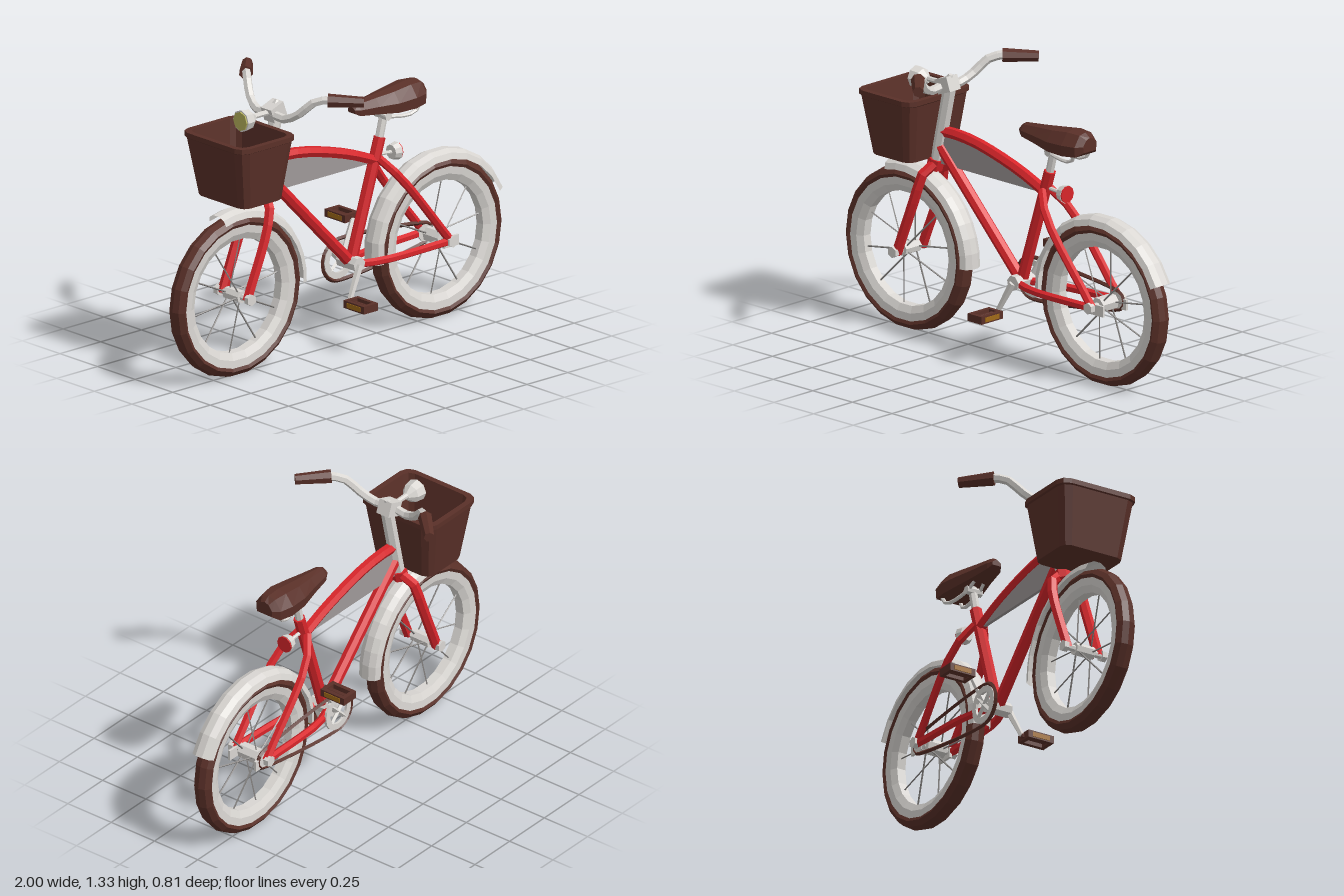
import * as THREE from 'three';

const mat = (name, color, extra = {}) =>
  Object.assign(new THREE.MeshStandardMaterial({ color, flatShading: true, ...extra }), { name });
const V = (x, y, z = 0) => new THREE.Vector3(x, y, z);

export function createModel() {
  const red = mat('red paint', 0xd8252a);
  const white = mat('off white', 0xd9d6d2, { side: THREE.DoubleSide });
  const brown = mat('brown rubber and leather', 0x5a3028);
  const grey = mat('grey panel', 0x9f9999);
  const steel = mat('spoke steel', 0x8d8a88);
  const amber = mat('amber reflector', 0xa06a18);
  const lensYellow = mat('lamp lens', 0xb9b45c);

  const bike = new THREE.Group();
  bike.name = 'bicycle';
  const add = (name, geo, material, parent = bike) => {
    const m = new THREE.Mesh(geo, material);
    m.name = name;
    parent.add(m);
    return m;
  };

  // straight tube between two points
  const rod = (name, a, b, r, material, parent = bike, r2 = r, sides = 7) => {
    const m = add(name, new THREE.CylinderGeometry(r2, r, a.distanceTo(b), sides), material, parent);
    m.position.copy(a).lerp(b, 0.5);
    m.quaternion.setFromUnitVectors(V(0, 1, 0), b.clone().sub(a).normalize());
    return m;
  };
  // bent tube through points
  const bent = (name, pts, r, material, segs = 8, closed = false, sides = 6) =>
    add(name, new THREE.TubeGeometry(new THREE.CatmullRomCurve3(pts, closed, 'centripetal'), segs, r, sides, closed), material);
  // ring or arc around the z axis from a (radius, z) profile
  const ring = (profile, segs, from = 0, sweep = Math.PI * 2) =>
    new THREE.LatheGeometry(profile.map(p => new THREE.Vector2(...p)), segs, from + Math.PI / 2, sweep).rotateX(Math.PI / 2);
  // skin over cross-sections, capped at both ends
  const loft = rings => {
    const n = rings[0].length, pos = [], idx = [];
    rings.forEach(r => r.forEach(p => pos.push(p.x, p.y, p.z)));
    for (let i = 0; i < rings.length - 1; i++)
      for (let j = 0; j < n; j++) {
        const a = i * n + j, d = i * n + (j + 1) % n;
        idx.push(a, a + n, d + n, a, d + n, d);
      }
    const last = (rings.length - 1) * n;
    for (let j = 1; j < n - 1; j++) idx.push(0, j, j + 1, last, last + j + 1, last + j);
    const g = new THREE.BufferGeometry();
    g.setAttribute('position', new THREE.Float32BufferAttribute(pos, 3));
    g.setIndex(idx);
    g.computeVertexNormals();
    return g;
  };

  // wheels with fenders
  const deg = Math.PI / 180;
  const wheel = (name, x, hubR, fenderFrom, fenderTo) => {
    const g = new THREE.Group();
    g.name = name;
    g.position.set(x, 0.38, 0);
    bike.add(g);
    add('tire', ring([[0.325, -0.036], [0.35, -0.048], [0.373, -0.03], [0.382, 0], [0.373, 0.03],
      [0.35, 0.048], [0.325, 0.036], [0.325, -0.036]], 22), brown, g);
    add('whitewallRim', ring([[0.268, -0.022], [0.3, -0.038], [0.336, -0.041], [0.336, 0.041],
      [0.3, 0.038], [0.268, 0.022], [0.268, -0.022]], 22), white, g);
    add('fender', ring([[0.372, -0.056], [0.4, -0.046], [0.415, -0.018], [0.415, 0.018], [0.4, 0.046],
      [0.372, 0.056]], 11, fenderFrom * deg, (fenderTo - fenderFrom) * deg), white, g);
    rod('hub', V(0, 0, -0.05), V(0, 0, 0.05), hubR, white, g);
    rod('axle', V(0, 0, -0.11), V(0, 0, 0.11), 0.016, white, g);
    for (const s of [-1, 1]) rod('axleNut', V(0, 0, s * 0.09), V(0, 0, s * 0.115), 0.027, white, g, 0.027, 6);
    for (let i = 0; i < 10; i++) {
      const a = (i + 0.3) * Math.PI / 5, z = i % 2 ? 0.035 : -0.035;
      rod('spoke', V(0.015 * Math.cos(a), 0.015 * Math.sin(a), z),
        V(0.275 * Math.cos(a), 0.275 * Math.sin(a), 0), 0.004, steel, g, 0.004, 4);
    }
    return g;
  };
  wheel('frontWheel', -0.62, 0.03, -2, 106);
  const rear = wheel('rearWheel', 0.615, 0.038, 24, 186);
  rod('rearSprocket', V(0, 0, -0.08), V(0, 0, -0.07), 0.042, white, rear, 0.042, 10);

  // frame
  bent('topTube', [V(-0.4, 0.975), V(-0.3, 0.975), V(-0.18, 0.96), V(0, 0.915), V(0.12, 0.875), V(0.25, 0.82)], 0.026, red, 9);
  rod('downTube', V(-0.42, 0.9), V(0.09, 0.375), 0.028, red);
  rod('seatTube', V(0.09, 0.37), V(0.268, 0.93), 0.028, red);
  const panel = new THREE.Shape();
  panel.moveTo(-0.425, 0.82);
  [[0.24, 0.82], [0.12, 0.875], [0, 0.915], [-0.18, 0.96], [-0.3, 0.975], [-0.39, 0.975]].forEach(p => panel.lineTo(...p));
  add('tankPanel', new THREE.ExtrudeGeometry(panel, { depth: 0.016, bevelEnabled: false }).translate(0, 0, -0.008), grey);
  rod('bottomBracket', V(0.09, 0.375, -0.06), V(0.09, 0.375, 0.06), 0.036, white);
  for (const s of [-1, 1]) {
    bent('chainStay', [V(0.1, 0.37, s * 0.03), V(0.22, 0.37, s * 0.07), V(0.62, 0.378, s * 0.09)], 0.019, red, 6);
    bent('seatStay', [V(0.24, 0.84, s * 0.025), V(0.32, 0.745, s * 0.08), V(0.62, 0.38, s * 0.09)], 0.02, red, 6);
    bent('forkLeg', [V(-0.445, 0.815, s * 0.02), V(-0.47, 0.77, s * 0.07), V(-0.5, 0.67, s * 0.082),
      V(-0.62, 0.37, s * 0.082)], 0.024, red, 7);
    const plate = add('rearDropout', new THREE.BoxGeometry(0.09, 0.05, 0.012), white);
    plate.position.set(0.635, 0.37, s * 0.075);
  }
  rod('forkCrown', V(-0.46, 0.79), V(-0.445, 0.84), 0.04, red);
  rod('headTube', V(-0.445, 0.83), V(-0.365, 1.19), 0.031, white);

  // handlebar
  const clamp = add('stemClamp', new THREE.BoxGeometry(0.08, 0.07, 0.07), white);
  clamp.position.set(-0.38, 1.2, 0);
  clamp.rotation.z = 0.35;
  rod('stemBolt', V(-0.37, 1.22), V(-0.36, 1.25), 0.025, white, bike, 0.01, 6);
  for (const s of [-1, 1]) {
    bent('handlebar', [V(-0.4, 1.195, 0), V(-0.395, 1.185, s * 0.09), V(-0.375, 1.22, s * 0.16),
      V(-0.335, 1.285, s * 0.225), V(-0.285, 1.3, s * 0.285)], 0.021, white, 8);
    rod('grip', V(-0.3, 1.295, s * 0.272), V(-0.185, 1.29, s * 0.388), 0.033, brown, bike, 0.025);
  }

  // headlamp
  rod('lampBracket', V(-0.51, 1.2), V(-0.39, 1.2), 0.013, white);
  rod('lampShell', V(-0.582, 1.195), V(-0.535, 1.195), 0.052, white, bike, 0.045, 8);
  rod('lampBack', V(-0.535, 1.195), V(-0.5, 1.195), 0.045, white, bike, 0.015, 8);
  rod('lampLens', V(-0.588, 1.195), V(-0.581, 1.195), 0.045, lensYellow, bike, 0.045, 8);

  // open basket: outer wall, rim, inner wall, floor
  const roundRect = (cx, y, hx, hz, r) => {
    const pts = [];
    [[1, 1], [-1, 1], [-1, -1], [1, -1]].forEach(([sx, sz], k) => {
      for (let i = 0; i < 3; i++) {
        const a = k * Math.PI / 2 + i * Math.PI / 4;
        pts.push(V(cx + sx * (hx - r) + r * Math.cos(a), y, sz * (hz - r) + r * Math.sin(a)));
      }
    });
    return pts;
  };
  add('basket', loft([
    roundRect(-0.587, 0.84, 0.125, 0.162, 0.04), roundRect(-0.592, 1.115, 0.168, 0.198, 0.05),
    roundRect(-0.592, 1.12, 0.174, 0.207, 0.05), roundRect(-0.592, 1.143, 0.174, 0.207, 0.05),
    roundRect(-0.592, 1.143, 0.148, 0.18, 0.04), roundRect(-0.587, 0.86, 0.112, 0.148, 0.035)]), brown);

  // saddle: x, half width, bottom, top
  const saddle = [[0.095, 0.025, 1.085, 1.115], [0.12, 0.04, 1.07, 1.13], [0.22, 0.058, 1.06, 1.14], [0.32, 0.082, 1.05, 1.15],
    [0.42, 0.09, 1.05, 1.163], [0.49, 0.075, 1.055, 1.16], [0.518, 0.045, 1.075, 1.14]];
  add('saddle', loft(saddle.map(([x, w, lo, hi]) =>
    [[hi, 0], [hi - 0.008, -0.5], [lo + (hi - lo) * 0.45, -0.95], [lo, -0.9], [lo, 0.9],
      [lo + (hi - lo) * 0.45, 0.95], [hi - 0.008, 0.5]].map(([y, z]) => V(x, y, z * w)))), brown);
  rod('seatPost', V(0.262, 0.91), V(0.3, 1.06), 0.02, white);
  rod('seatClamp', V(0.288, 1.03, -0.04), V(0.288, 1.03, 0.04), 0.02, white);
  for (const s of [-1, 1])
    bent('saddleRail', [V(0.24, 1.06, s * 0.025), V(0.29, 1.03, s * 0.03), V(0.44, 1.02, s * 0.045), V(0.47, 1.06, s * 0.05)], 0.009, white, 7);

  // tail light
  rod('tailLightShell', V(0.338, 0.842), V(0.372, 0.842), 0.034, white, bike, 0.043, 10);
  rod('tailLightLens', V(0.371, 0.842), V(0.378, 0.842), 0.04, red, bike, 0.04, 10);
  rod('tailLightBracket', V(0.25, 0.85), V(0.34, 0.842), 0.009, white);

  // chain and chainring on the -z side
  const chainPts = [];
  for (let i = 0; i <= 6; i++) {
    const a = (96 + i * 28) * deg;
    chainPts.push(V(0.085 + 0.098 * Math.cos(a), 0.37 + 0.098 * Math.sin(a), -0.075));
  }
  for (let i = 0; i <= 4; i++) {
    const a = (-84 + i * 42) * deg;
    chainPts.push(V(0.615 + 0.044 * Math.cos(a), 0.38 + 0.044 * Math.sin(a), -0.075));
  }
  bent('chain', chainPts, 0.01, brown, 60, true, 4);
  const sprocket = add('chainring', ring([[0.06, -0.006], [0.09, -0.006], [0.09, 0.006], [0.06, 0.006], [0.06, -0.006]], 16), white);
  sprocket.position.set(0.085, 0.37, -0.075);
  for (let i = 0; i < 4; i++) {
    const a = (i + 0.5) * Math.PI / 2;
    rod('chainringArm', V(0.085, 0.37, -0.075), V(0.085 + 0.065 * Math.cos(a), 0.37 + 0.065 * Math.sin(a), -0.075), 0.01, white, bike, 0.01, 4);
  }

  // cranks and pedals
  for (const s of [-1, 1]) {
    const px = s > 0 ? 0.01 : 0.18, py = s > 0 ? 0.225 : 0.545;
    rod('crank', V(0.09, 0.375, s * 0.06), V(px, py, s * 0.08), 0.018, white, bike, 0.012, 5);
    const pedal = new THREE.Group();
    pedal.name = 'pedal';
    pedal.position.set(px, py, s * 0.155);
    bike.add(pedal);
    rod('pedalAxle', V(0, 0, -s * 0.08), V(0, 0, s * 0.06), 0.012, brown, pedal);
    for (const e of [-1, 1]) {
      add('pedalBar', new THREE.BoxGeometry(0.02, 0.036, 0.13), brown, pedal).position.x = e * 0.034;
      add('pedalEnd', new THREE.BoxGeometry(0.088, 0.036, 0.02), brown, pedal).position.z = e * 0.058;
      add('pedalReflector', new THREE.BoxGeometry(0.004, 0.022, 0.09), amber, pedal).position.x = e * 0.045;
    }
  }
  return bike;
}
